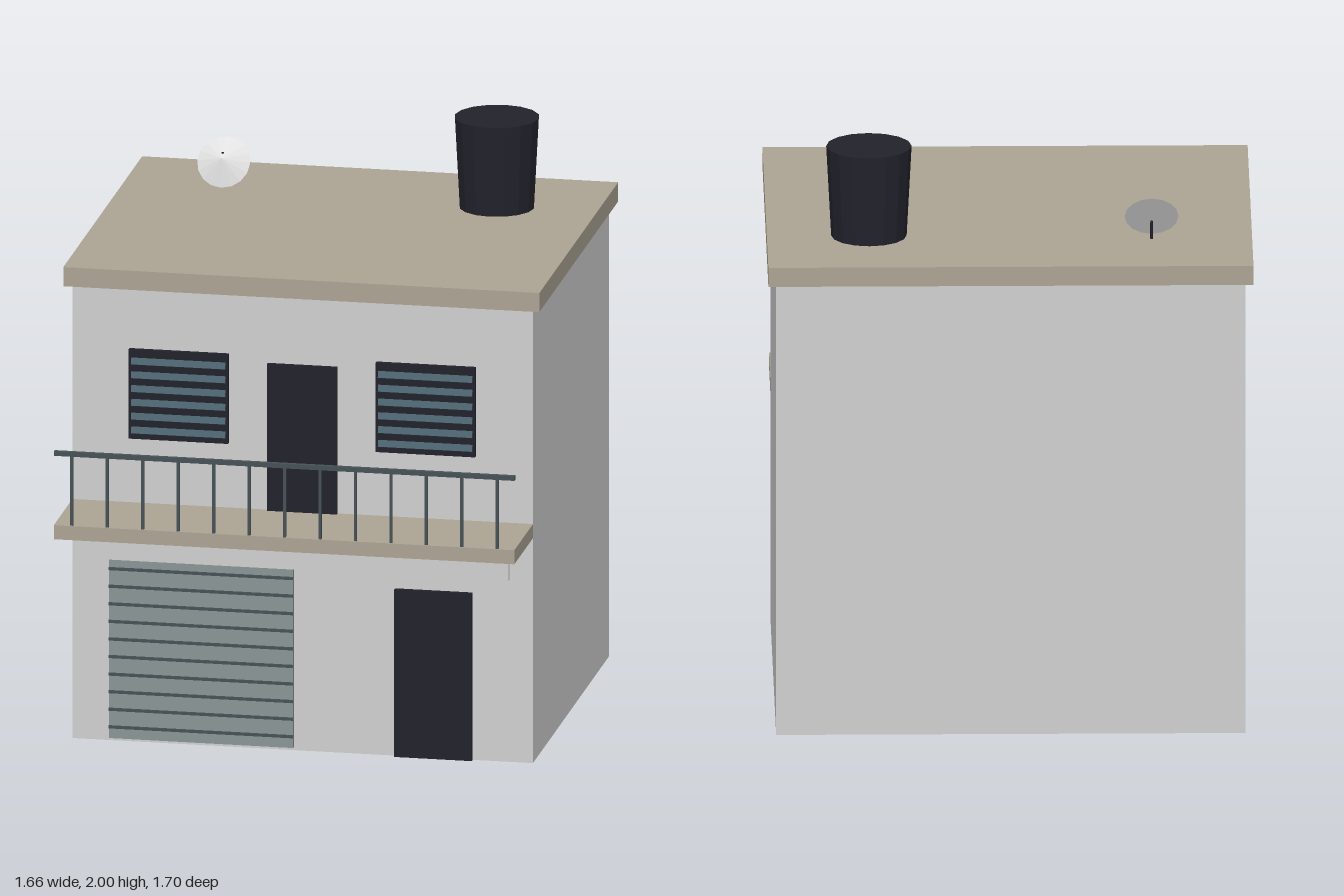
import * as THREE from 'three';

const mat = (name, color) => {
  const m = new THREE.MeshStandardMaterial({ color });
  m.name = name;
  return m;
};

export function createModel() {
  const wall = mat('wall grey', 0xd0d0d0);
  const concrete = mat('concrete tan', 0xaca494);
  const dark = mat('dark navy', 0x22222c);
  const steel = mat('shutter grey', 0x8a9595);
  const slate = mat('slate grey', 0x465156);
  const blue = mat('louvre blue', 0x4b626e);
  const orange = mat('sign orange', 0xc8502e);
  const white = mat('dish white', 0xe0e0e0);

  const model = new THREE.Group();
  model.name = 'house';

  const add = (name, geometry, material, x, y, z, parent = model) => {
    const mesh = new THREE.Mesh(geometry, material);
    mesh.name = name;
    mesh.position.set(x, y, z);
    parent.add(mesh);
    return mesh;
  };
  // Box given by its limits on each axis
  const box = (name, material, [x0, x1], [y0, y1], [z0, z1], parent) =>
    add(name, new THREE.BoxGeometry(x1 - x0, y1 - y0, z1 - z0), material,
      (x0 + x1) / 2, (y0 + y1) / 2, (z0 + z1) / 2, parent);
  const group = (name) => {
    const g = new THREE.Group();
    g.name = name;
    model.add(g);
    return g;
  };

  // Main volume and slabs
  const front = 0.52;
  box('walls', wall, [-0.802, 0.802], [0, 1.612], [-0.82, front]);
  box('roofSlab', concrete, [-0.829, 0.829], [1.612, 1.68], [-0.85, 0.545]);
  box('balconyFloor', concrete, [-0.802, 0.802], [0.8, 0.85], [front, 0.85]);

  // Doors
  box('balconyDoor', dark, [-0.122, 0.122], [0.85, 1.372], [front, 0.535]);
  box('frontDoor', dark, [0.322, 0.592], [0, 0.595], [front, 0.537]);

  // Roller shutter with dark seams
  const shutter = group('garageShutter');
  box('shutterPanel', steel, [-0.672, -0.03], [0.012, 0.655], [front, 0.537], shutter);
  for (let i = 0; i < 10; i++) {
    const y = 0.053 + i * 0.0625;
    box('shutterSeam', slate, [-0.672, -0.03], [y - 0.005, y + 0.005], [0.53, 0.543], shutter);
  }

  // Sign board over the shutter
  box('signBoard', wall, [-0.722, 0.722], [0.65, 0.8], [0.53, 0.549]);
  box('signStripe', orange, [-0.722, 0.722], [0.776, 0.8], [0.549, 0.555]);

  // Louvred windows
  for (const side of [-1, 1]) {
    const win = group(side < 0 ? 'rightWindow' : 'leftWindow');
    const cx = side * 0.43;
    box('windowFrame', dark, [cx - 0.173, cx + 0.173], [1.08, 1.398], [front, 0.535], win);
    for (let i = 0; i < 6; i++) {
      const slat = add('louvre', new THREE.BoxGeometry(0.328, 0.024, 0.006), blue,
        cx, 1.112 + i * 0.049, 0.537, win);
      slat.rotation.x = -0.4;
    }
  }

  // Balcony railing
  const railing = group('railing');
  box('handrail', slate, [-0.802, 0.802], [1.096, 1.112], [0.832, 0.848], railing);
  for (let i = -6; i <= 6; i++) {
    const x = i * 0.1235;
    box('baluster', slate, [x - 0.005, x + 0.005], [0.85, 1.096], [0.835, 0.845], railing);
  }

  // Water tank, wider at the top
  const tank = new THREE.CylinderGeometry(0.146, 0.129, 0.32, 16).toNonIndexed();
  tank.computeVertexNormals();
  add('waterTank', tank, dark, 0.48, 1.84, -0.476);

  // Satellite dish: shallow tilted cone on a thin pole
  const dish = group('satelliteDish');
  const depth = 0.045;
  const coneGeo = new THREE.ConeGeometry(0.092, depth, 16).translate(0, depth / 2, 0).toNonIndexed();
  coneGeo.computeVertexNormals();
  add('dishBowl', coneGeo, white, -0.485, 1.765, -0.546, dish).rotation.x = 1.01;
  add('dishPole', new THREE.CylinderGeometry(0.005, 0.005, 0.124, 6), dark, -0.485, 1.742, -0.53, dish);

  return model;
}
